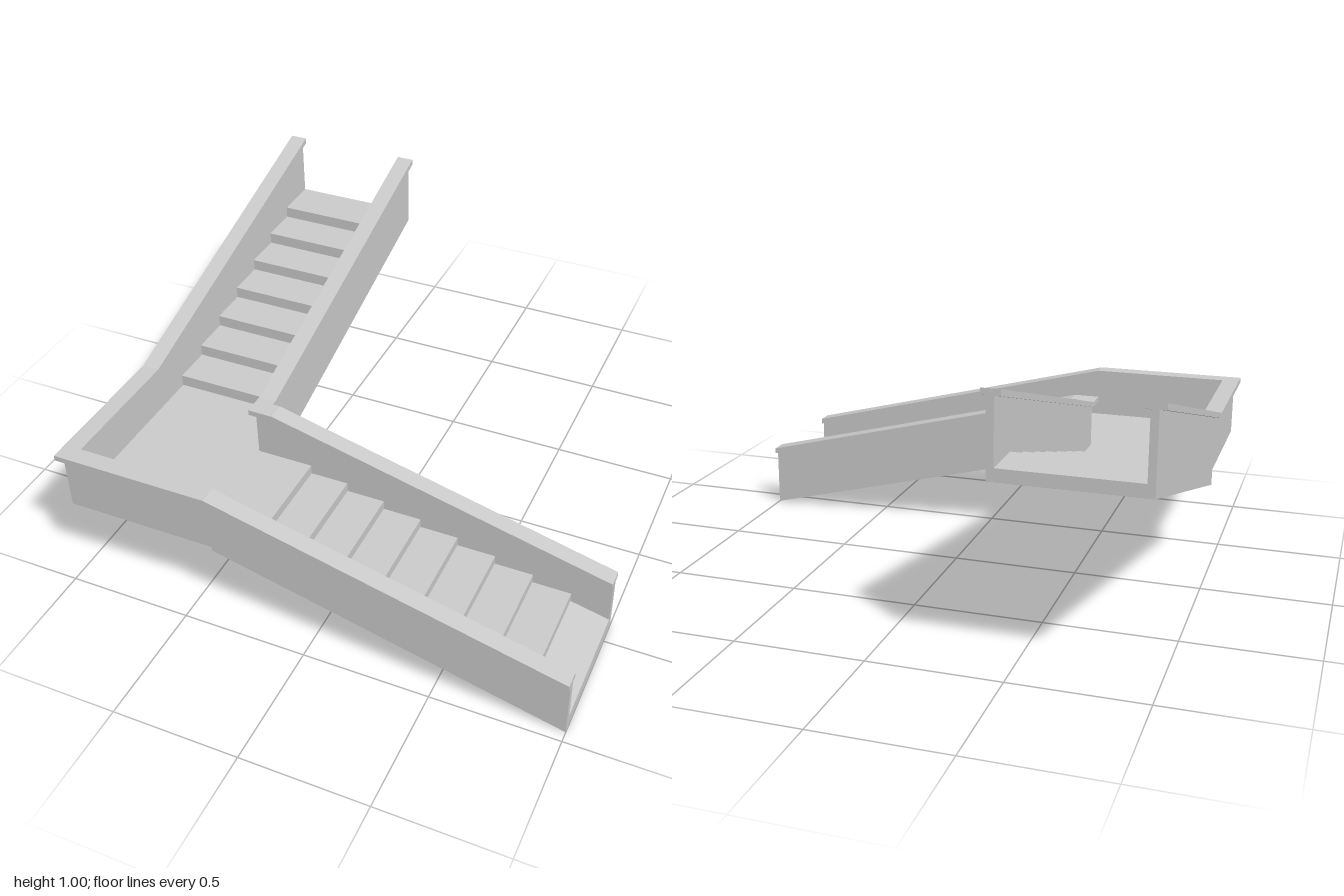
import * as THREE from 'three';

const material = new THREE.MeshStandardMaterial({ color: 0xcccccc, flatShading: true, side: THREE.DoubleSide });

// Extrudes a side profile (run, height) across the flight from a to b.
function slab(name, points, a, b) {
  const shape = new THREE.Shape(points.map(([u, y]) => new THREE.Vector2(u, y)));
  const geometry = new THREE.ExtrudeGeometry(shape, { depth: b - a, bevelEnabled: false });
  geometry.translate(0, 0, a);
  const mesh = new THREE.Mesh(geometry, material);
  mesh.name = name;
  return mesh;
}

function box(name, x0, x1, y0, y1, z0, z1) {
  const geometry = new THREE.BoxGeometry(x1 - x0, y1 - y0, z1 - z0);
  geometry.translate((x0 + x1) / 2, (y0 + y1) / 2, (z0 + z1) / 2);
  const mesh = new THREE.Mesh(geometry, material);
  mesh.name = name;
  return mesh;
}

const FLOOR = 0.405, UNDERSIDE = 0.37, WALL_TOP = 0.59, RAIL_TOP = 0.612;

// Side wall: level along the landing, then following the slope.
// f: bend = run where the slope starts, end = run at its far end
const wallProfile = (start, f) => [
  [start, UNDERSIDE], [f.bend, UNDERSIDE], [f.bend, f.bottom0], [f.end, f.bottom1],
  [f.end, f.top1], [f.bend, WALL_TOP], [start, WALL_TOP],
];

const railProfile = (start, f) => [
  [start, WALL_TOP], [f.bend, WALL_TOP], [f.end, f.top1],
  [f.end, f.top1 + 0.023], [f.bend, RAIL_TOP], [start, RAIL_TOP],
];

// Stepped floor with a sloping underside
function stairProfile(f) {
  const points = [[f.bend, f.bottom0], [f.end, f.bottom1]];
  const steps = [[f.bend, FLOOR]];
  for (let i = 0; i < f.count; i++) {
    const u = f.first + i * f.going;
    steps.push([u, FLOOR + i * f.rise], [u, FLOOR + (i + 1) * f.rise]);
  }
  steps.push([f.end, f.floorEnd]);
  return points.concat(steps.reverse());
}

// Each side lists its wall and rail: [start, inner/outer limits across]
function buildFlight(name, f) {
  const group = new THREE.Group();
  group.name = name;
  group.add(slab('steps', stairProfile(f), ...f.width));
  for (const s of f.sides) {
    group.add(slab(s.name + 'Wall', wallProfile(s.wallStart, f), ...s.wall));
    group.add(slab(s.name + 'Rail', railProfile(s.railStart, f), ...s.rail));
  }
  return group;
}

export function createModel() {
  const model = new THREE.Group();
  model.name = 'cornerStaircase';

  // Lower flight, descending towards +x
  model.add(buildFlight('lowerFlight', {
    bend: -0.375, end: 1, bottom0: 0.353, bottom1: 0, top1: 0.238,
    first: -0.225, going: 0.153, rise: -0.0385, count: 8, floorEnd: 0.06,
    width: [0.443, 0.93],
    sides: [
      { name: 'outer', wallStart: -0.975, wall: [0.93, 0.957], railStart: -1, rail: [0.907, 0.977] },
      { name: 'inner', wallStart: -0.452, wall: [0.415, 0.443], railStart: -0.475, rail: [0.39, 0.46] },
    ],
  }));

  // Upper flight, ascending towards -z (run = -z, across = x)
  const upper = buildFlight('upperFlight', {
    bend: -0.37, end: 0.978, bottom0: 0.305, bottom1: 0.69, top1: 0.977,
    first: -0.188, going: 0.163, rise: 0.0475, count: 7, floorEnd: FLOOR + 7 * 0.0475,
    width: [-0.948, -0.452],
    sides: [
      { name: 'outer', wallStart: -0.93, wall: [-0.975, -0.948], railStart: -0.907, rail: [-1, -0.93] },
      { name: 'inner', wallStart: -0.415, wall: [-0.452, -0.425], railStart: -0.39, rail: [-0.475, -0.405] },
    ],
  });
  upper.rotation.y = Math.PI / 2;
  model.add(upper);

  // Corner landing floor
  model.add(box('landing', -0.948, -0.375, UNDERSIDE, FLOOR, 0.443, 0.93));
  model.add(box('landingThreshold', -0.948, -0.452, UNDERSIDE, FLOOR, 0.37, 0.443));
  return model;
}
